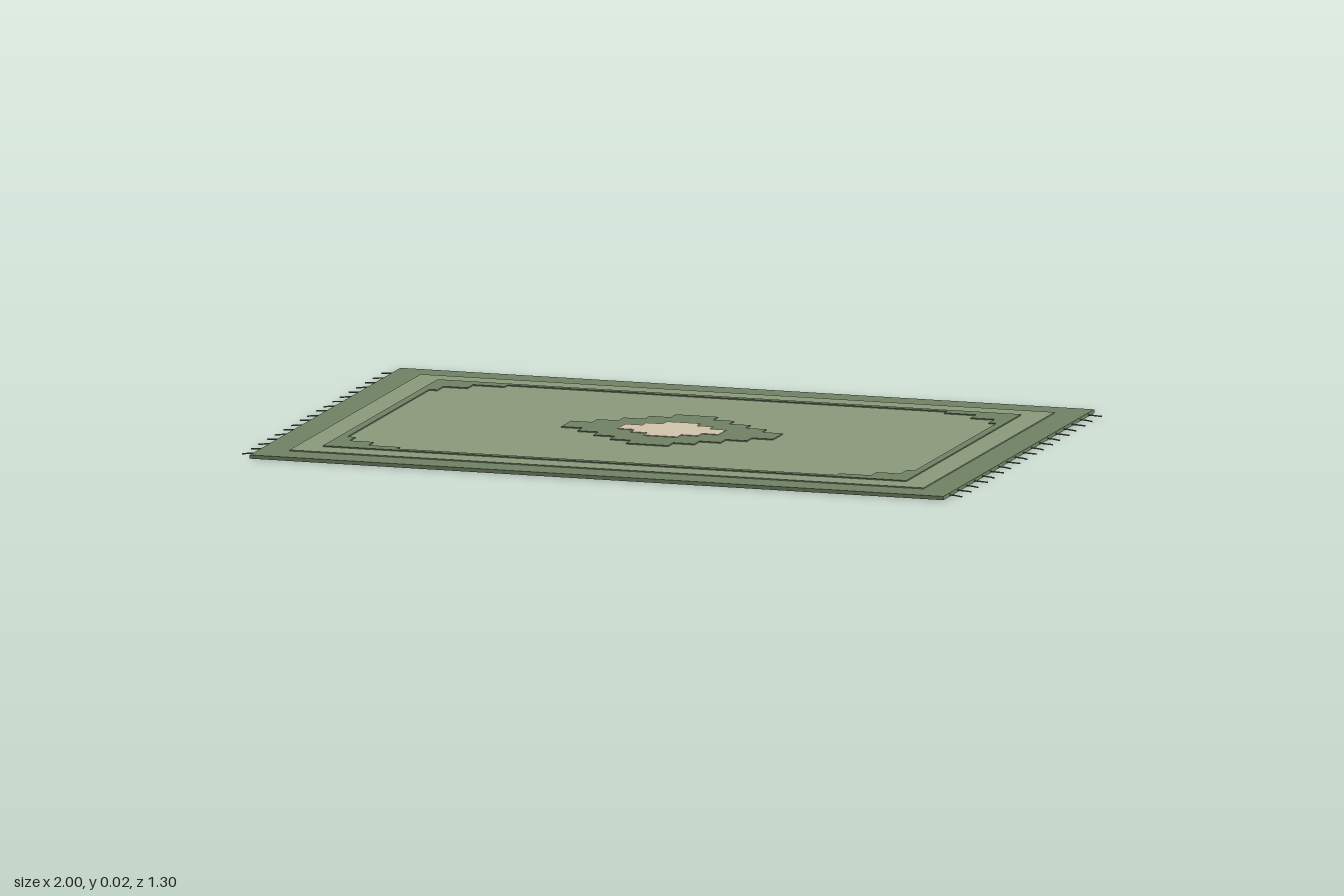
import * as THREE from 'three';

const mat = (color) => new THREE.MeshStandardMaterial({ color, roughness: 1 });

// Flat slab: a shape in (x, z) raised from y0 to y1
function slab(name, points, y0, y1, material, hole) {
  const toV = ([x, z]) => new THREE.Vector2(x, z);
  const shape = new THREE.Shape(points.map(toV));
  if (hole) shape.holes.push(new THREE.Path(hole.map(toV)));
  const geo = new THREE.ExtrudeGeometry(shape, { depth: y1 - y0, bevelEnabled: false });
  geo.rotateX(-Math.PI / 2).translate(0, y0, 0);
  const mesh = new THREE.Mesh(geo, material);
  mesh.name = name;
  return mesh;
}

const rect = (x, z) => [[-x, -z], [x, -z], [x, z], [-x, z]];

// Stepped diamond outline with n equal steps per quarter
function steppedDiamond(halfX, halfZ, n) {
  const quarter = [];
  for (let k = 0; k < n; k++) {
    const x = halfX * (n - k) / n;
    quarter.push([x, halfZ * k / n], [x, halfZ * (k + 1) / n]);
  }
  quarter.shift(); // the axis point is not a corner
  const back = [...quarter].reverse();
  return [
    ...quarter,
    ...back.map(([x, z]) => [-x, z]),
    ...quarter.map(([x, z]) => [-x, -z]),
    ...back.map(([x, z]) => [x, -z]),
  ];
}

export function createModel() {
  const rug = new THREE.Group();
  rug.name = 'rug';
  const dark = mat(0x6f8263);
  const light = mat(0x8a9a7b);
  const cream = mat(0xd2c4ae);

  // Woven layers
  rug.add(slab('base', rect(0.963, 0.65), 0, 0.01, dark));
  rug.add(slab('field', rect(0.88, 0.565), 0.01, 0.013, light));
  rug.add(slab('borderLine', rect(0.81, 0.495), 0.013, 0.016, dark, rect(0.787, 0.475)));

  // Stepped corner ornaments
  const corner = [[0.787, 0.475], [0.61, 0.475], [0.61, 0.452], [0.698, 0.452],
    [0.698, 0.405], [0.765, 0.405], [0.765, 0.352], [0.787, 0.352]];
  for (const sx of [-1, 1]) {
    for (const sz of [-1, 1]) {
      rug.add(slab('cornerOrnament', corner.map(([x, z]) => [sx * x, sz * z]), 0.013, 0.016, dark));
    }
  }

  // Central medallion
  rug.add(slab('medallion', steppedDiamond(0.294, 0.214, 5), 0.013, 0.016, dark));
  rug.add(slab('medallionCentre', steppedDiamond(0.14, 0.1, 3), 0.016, 0.018, cream));

  // Fringe threads along both short ends
  const fringe = new THREE.Group();
  fringe.name = 'fringe';
  const threads = 18;
  for (const side of [-1, 1]) {
    for (let i = 0; i < threads; i++) {
      const z = -0.597 + 1.194 * i / (threads - 1);
      const curve = new THREE.CatmullRomCurve3([
        new THREE.Vector3(side * 0.96, 0.005, z),
        new THREE.Vector3(side * 0.98, 0.004, z),
        new THREE.Vector3(side * 1.0, 0.002, z + (i % 2 ? 0.004 : -0.004)),
      ]);
      const thread = new THREE.Mesh(new THREE.TubeGeometry(curve, 4, 0.002, 5), dark);
      thread.name = 'fringeThread';
      fringe.add(thread);
    }
  }
  rug.add(fringe);
  return rug;
}
